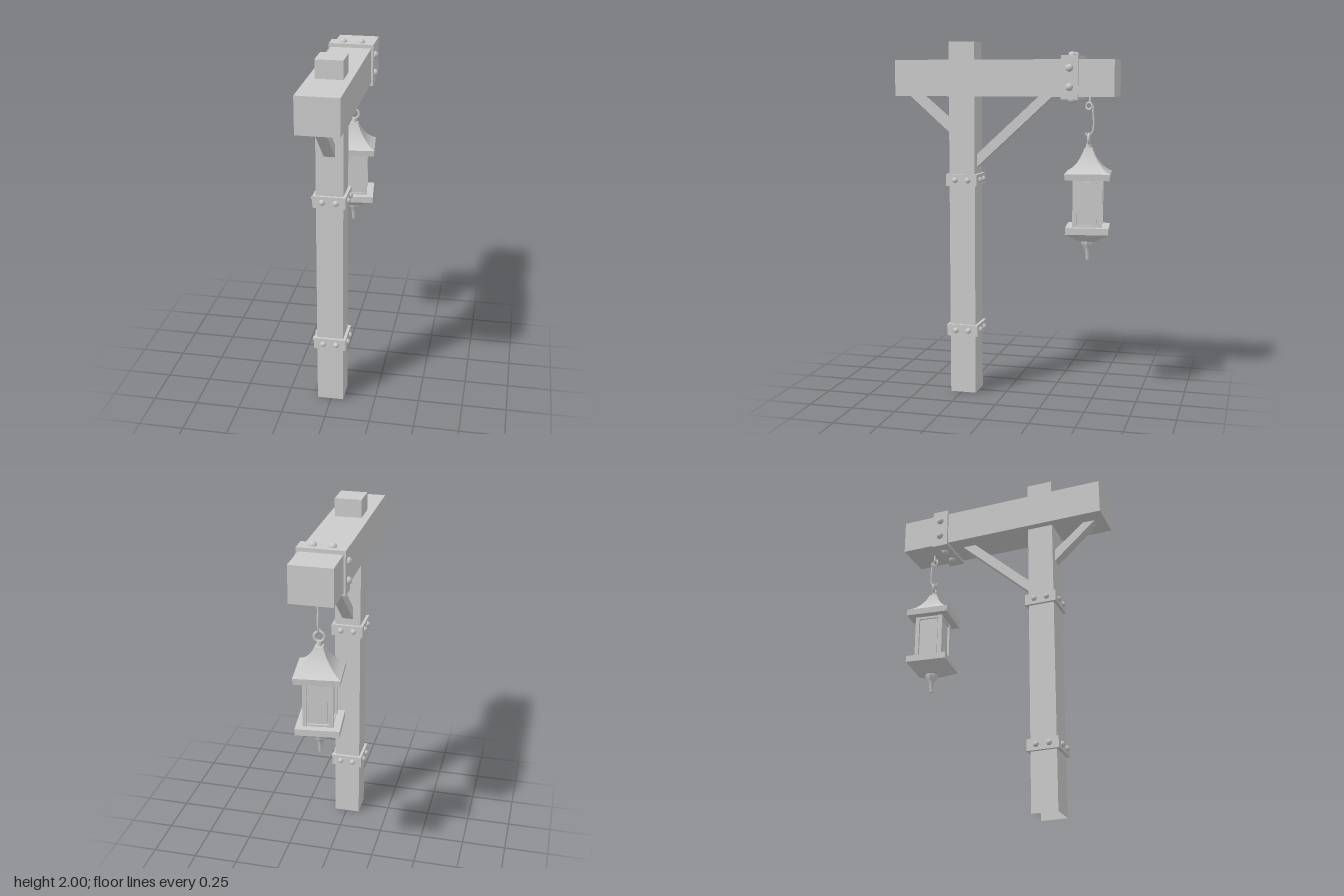
import * as THREE from 'three';
import { toCreasedNormals } from 'three/addons/utils/BufferGeometryUtils.js';

const CX = -0.004;   // centre line of post and beam
const POST_Z = 0.24;
const LAMP_Z = -0.465;

const grey = new THREE.MeshStandardMaterial({ color: 0xcccccc });
const greyDouble = new THREE.MeshStandardMaterial({ color: 0xcccccc, side: THREE.DoubleSide });

function add(parent, name, geometry, x = 0, y = 0, z = 0, material = grey) {
  const mesh = new THREE.Mesh(geometry, material);
  mesh.name = name;
  mesh.position.set(x, y, z);
  parent.add(mesh);
  return mesh;
}

function box(parent, name, w, h, d, x, y, z) {
  return add(parent, name, new THREE.BoxGeometry(w, h, d), x, y, z);
}

// Square-section solid from [half width, y] pairs
function squareLathe(points, crease = 0.5) {
  const profile = points.map(([r, y]) => new THREE.Vector2(r * Math.SQRT2, y));
  return toCreasedNormals(new THREE.LatheGeometry(profile, 4, Math.PI / 4), crease);
}

// Domed bolt head pointing along a direction
function bolt(parent, radius, position, direction) {
  const geometry = new THREE.SphereGeometry(radius, 8, 4, 0, Math.PI * 2, 0, Math.PI / 2);
  const mesh = add(parent, 'bolt', geometry, position.x, position.y, position.z);
  mesh.quaternion.setFromUnitVectors(new THREE.Vector3(0, 1, 0), direction);
}

// Strap with two bolts on each of its four sides; its axis is local y
function strap(name, width, depth, height, spacing, radius) {
  const group = new THREE.Group();
  group.name = name;
  box(group, 'band', width, height, depth, 0, 0, 0);
  for (let i = 0; i < 4; i++) {
    const a = i * Math.PI / 2;
    const out = new THREE.Vector3(Math.round(Math.sin(a)), 0, Math.round(Math.cos(a)));
    const side = new THREE.Vector3(out.z, 0, -out.x);
    for (const s of [-spacing, spacing]) {
      const p = out.clone().multiplyScalar(i % 2 ? width / 2 : depth / 2).addScaledVector(side, s);
      bolt(group, radius, p, out);
    }
  }
  return group;
}

// Diagonal brace: outline in z and y, extruded across x
function brace(parent, name, outline) {
  const shape = new THREE.Shape(outline.map(([z, y]) => new THREE.Vector2(z, y)));
  const geometry = new THREE.ExtrudeGeometry(shape, { depth: 0.06, bevelEnabled: false });
  geometry.translate(0, 0, -0.03).rotateY(-Math.PI / 2);
  add(parent, name, geometry, CX);
}

function createLantern() {
  const lantern = new THREE.Group();
  lantern.name = 'lantern';

  // Curved roof with a thick eave
  add(lantern, 'roof', squareLathe([
    [0, 1.25], [0.121, 1.25], [0.124, 1.285], [0.1, 1.3], [0.078, 1.32],
    [0.058, 1.345], [0.04, 1.375], [0.027, 1.405], [0.022, 1.42], [0, 1.425]]));

  // Glazed body with corner posts and raised panels
  box(lantern, 'body', 0.132, 0.27, 0.132, 0, 1.12, 0);
  for (const x of [-0.07, 0.07])
    for (const z of [-0.07, 0.07]) box(lantern, 'cornerPost', 0.022, 0.27, 0.022, x, 1.12, z);
  for (let i = 0; i < 4; i++) {
    const side = new THREE.Group();
    side.name = 'panelSide';
    side.rotation.y = i * Math.PI / 2;
    box(side, 'panel', 0.1, 0.23, 0.01, 0, 1.12, 0.066);
    box(side, 'lowerRail', 0.13, 0.014, 0.014, 0, 0.994, 0.07);
    box(side, 'upperRail', 0.13, 0.014, 0.014, 0, 1.243, 0.07);
    lantern.add(side);
  }

  // Base tray tapering underneath
  add(lantern, 'base', squareLathe([
    [0, 0.905], [0.042, 0.905], [0.118, 0.953], [0.118, 0.99], [0, 0.99]], 0.3));

  // Turned finial
  const finial = [[0, 0.797], [0.008, 0.798], [0.017, 0.86], [0.021, 0.868],
    [0.036, 0.888], [0.038, 0.906], [0, 0.908]].map(([r, y]) => new THREE.Vector2(r, y));
  add(lantern, 'finial', toCreasedNormals(new THREE.LatheGeometry(finial, 8), 0.6));

  // Neck and hanging ring
  add(lantern, 'neck', new THREE.CylinderGeometry(0.013, 0.017, 0.03, 8), 0, 1.432, 0);
  add(lantern, 'ring', new THREE.TorusGeometry(0.027, 0.008, 6, 16), 0, 1.47, 0);

  lantern.position.set(CX, 0, LAMP_Z);
  lantern.rotation.y = 0.115;
  return lantern;
}

export function createModel() {
  const model = new THREE.Group();
  model.name = 'lanternPost';

  // Post, open at the foot
  const postGeometry = new THREE.BoxGeometry(0.148, 2, 0.148);
  const index = Array.from(postGeometry.index.array);
  index.splice(18, 6);
  postGeometry.setIndex(index);
  postGeometry.clearGroups();
  add(model, 'post', postGeometry, CX, 1, POST_Z, greyDouble);

  // Cross beam
  box(model, 'beam', 0.23, 0.2, 1.235, CX, 1.8, -0.002);

  // Braces between post and beam
  brace(model, 'frontBrace', [[0.31, 1.482], [0.56, 1.702], [0.488, 1.702], [0.31, 1.552]]);
  brace(model, 'backBrace', [[0.17, 1.3], [0.17, 1.372], [-0.19, 1.702], [-0.267, 1.702]]);

  // Straps round the post
  for (const y of [0.368, 1.232]) {
    const band = strap('postStrap', 0.18, 0.18, 0.066, 0.037, 0.017);
    band.position.set(CX, y, POST_Z);
    model.add(band);
  }

  // Strap round the beam
  const beamStrap = strap('beamStrap', 0.254, 0.236, 0.094, 0.051, 0.022);
  beamStrap.rotation.x = Math.PI / 2;
  beamStrap.position.set(CX, 1.803, -0.378);
  model.add(beamStrap);

  // Eye fixed under the beam
  add(model, 'eyeStem', new THREE.CylinderGeometry(0.006, 0.006, 0.04, 8), CX, 1.685, LAMP_Z - 0.005);
  const eye = add(model, 'eye', new THREE.TorusGeometry(0.019, 0.006, 6, 14), CX, 1.648, LAMP_Z);
  eye.rotation.y = 1.2;

  // Bent wire hook from the eye down to the lantern ring
  const wire = new THREE.CatmullRomCurve3([
    [-0.005, 1.638, 0.016], [0, 1.63, 0], [0, 1.645, -0.014], [0, 1.655, -0.022], [0, 1.62, -0.022],
    [0, 1.56, -0.026], [0, 1.515, -0.022], [0, 1.49, -0.004], [0, 1.488, 0.01], [0, 1.505, 0.018],
  ].map(([x, y, z]) => new THREE.Vector3(x + CX, y, z + LAMP_Z)));
  add(model, 'hook', new THREE.TubeGeometry(wire, 40, 0.0055, 6), 0, 0, 0, greyDouble);

  model.add(createLantern());
  return model;
}
